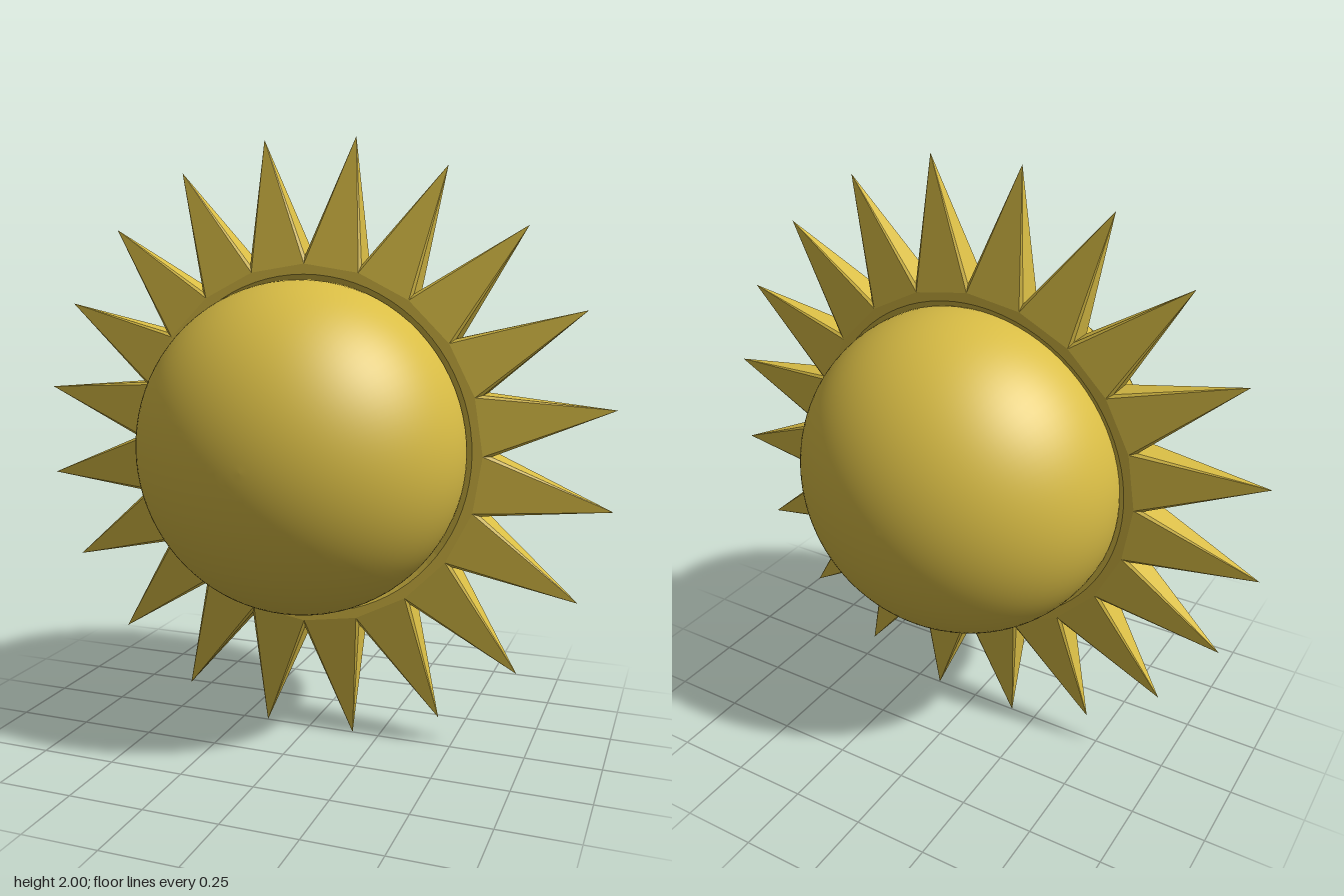
import * as THREE from 'three';

export function createModel() {
  const gold = new THREE.MeshStandardMaterial({ color: 0xd9bd45 });
  gold.name = 'gold';
  const model = new THREE.Group();
  model.name = 'sun';
  const sun = new THREE.Group();
  sun.name = 'sunBody';
  sun.position.y = 1;
  model.add(sun);

  const COUNT = 20;
  const STEP = (Math.PI * 2) / COUNT;
  const TIP = 1 / Math.cos(STEP / 2);

  const add = (name, geometry, parent = sun) => {
    const mesh = new THREE.Mesh(geometry, gold);
    mesh.name = name;
    parent.add(mesh);
    return mesh;
  };

  // One ray: sloped faces, thin bevels and tall side walls meeting at a point
  const polar = (r, a, z) => [r * Math.cos(a), r * Math.sin(a), z];
  const half = STEP / 2;
  const tip = [TIP, 0, 0];
  const pos = [];
  const tri = (a, b, c) => pos.push(...a, ...b, ...c);
  for (const s of [1, -1]) {
    const put = (a, b, c) => (s > 0 ? tri(a, b, c) : tri(a, c, b));
    const z = 0.055 * s, zb = 0.045 * s;
    const inR = polar(0.58, -half, z), inL = polar(0.58, half, z);
    const faceR = polar(0.6, -half, z), faceL = polar(0.6, half, z);
    const edgeR = polar(0.625, -half, zb), edgeL = polar(0.625, half, zb);
    put(inR, faceR, faceL);
    put(inR, faceL, inL);
    put(faceR, tip, faceL);
    put(faceR, edgeR, tip);
    put(faceL, tip, edgeL);
  }
  for (const s of [1, -1]) {
    const front = polar(0.625, half * s, 0.045), back = polar(0.625, half * s, -0.045);
    if (s > 0) tri(front, tip, back);
    else tri(front, back, tip);
  }
  const rayGeometry = new THREE.BufferGeometry();
  rayGeometry.setAttribute('position', new THREE.Float32BufferAttribute(pos, 3));
  rayGeometry.computeVertexNormals();

  const rays = new THREE.Group();
  rays.name = 'rays';
  sun.add(rays);
  for (let i = 0; i < COUNT; i++) {
    add('ray', rayGeometry, rays).rotation.z = (i + 0.5) * STEP;
  }

  // Bulging half-balls with a slightly tucked-in rim
  const domePoints = [new THREE.Vector2(0.543, 0.03)];
  for (let i = 0; i <= 32; i++) {
    const a = -0.08 + (Math.PI / 2 + 0.08) * (i / 32);
    domePoints.push(new THREE.Vector2(Math.max(0, 0.55 * Math.cos(a)), 0.09 + 0.49 * Math.sin(a)));
  }

  // Flat collar with a bevelled inner rim that leaves a fine groove
  const collarPoints = [[0.59, 0.055], [0.566, 0.055], [0.553, 0.045], [0.54, 0.035]]
    .map(([r, z]) => new THREE.Vector2(r, z));

  for (const [side, turn] of [['front', Math.PI / 2], ['back', -Math.PI / 2]]) {
    const dome = new THREE.LatheGeometry(domePoints, 80);
    dome.rotateX(turn);
    add(side + 'Dome', dome);
    const collar = new THREE.LatheGeometry(collarPoints, 80).toNonIndexed();
    collar.computeVertexNormals();
    collar.rotateX(turn);
    add(side + 'Collar', collar);
  }

  return model;
}
